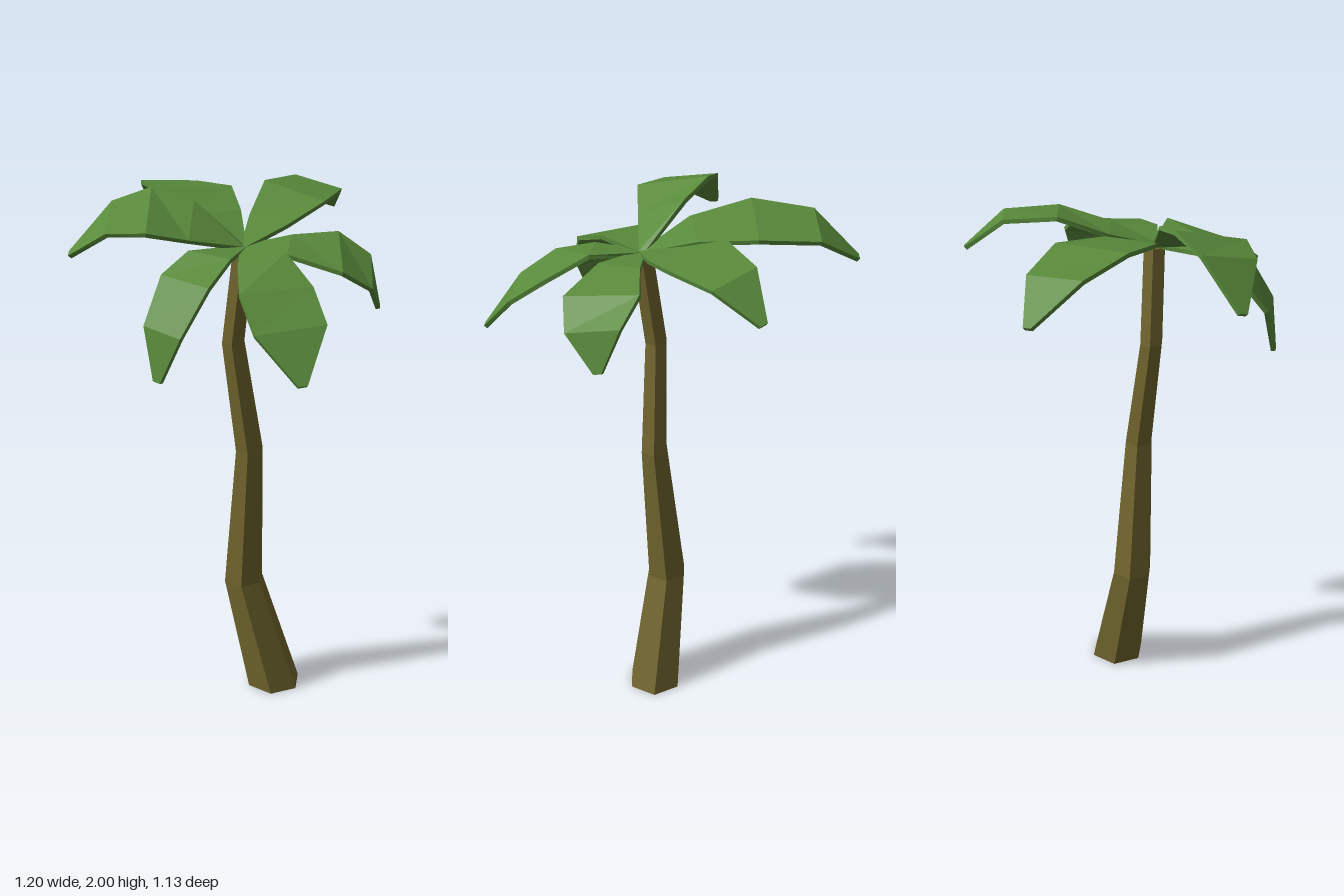
import * as THREE from 'three';

const bark = new THREE.MeshStandardMaterial({ color: 0x74682f, flatShading: true });
const green = new THREE.MeshStandardMaterial({ color: 0x598a3b, flatShading: true });
const V = (p) => new THREE.Vector3(...p);
const HUB = V([0.1, 1.82, 0.115]);

// Crooked six-sided trunk: a cylinder whose rings are moved and scaled
function makeTrunk() {
  const rings = [ // x, y, z, radius
    [0.145, 0, -0.027, 0.106],
    [0.048, 0.46, 0.043, 0.078],
    [0.088, 1.02, 0.062, 0.054],
    [0.05, 1.45, 0.11, 0.044],
    [0.1, 1.81, 0.113, 0.042],
  ];
  const geo = new THREE.CylinderGeometry(1, 1, 4, 6, 4, false, Math.PI / 2);
  const pos = geo.attributes.position;
  for (let i = 0; i < pos.count; i++) {
    const [x, y, z, r] = rings[Math.round(pos.getY(i) + 2)];
    pos.setXYZ(i, x + pos.getX(i) * r, y, z + pos.getZ(i) * r);
  }
  geo.computeVertexNormals();
  const mesh = new THREE.Mesh(geo, bark);
  mesh.name = 'trunk';
  return mesh;
}

// Thin leaf slab: left and right edge points (seen looking outward) and a tip
function makeLeaf(name, left, right, tip) {
  const L = left.map(V), R = right.map(V), T = V(tip);
  const end = L.length - 1;
  const tipSide = R[end].clone().sub(L[end]).setLength(0.016);
  const out = T.clone().sub(HUB).setY(0).normalize();
  const hubSide = new THREE.Vector3(-out.z, 0, out.x).multiplyScalar(0.012);
  L.unshift(HUB.clone().sub(hubSide));
  R.unshift(HUB.clone().add(hubSide));
  L.push(T.clone().sub(tipSide));
  R.push(T.clone().add(tipSide));

  // Underside, offset against the local normal
  const n = L.length, lowL = [], lowR = [];
  for (let i = 0; i < n; i++) {
    const a = Math.max(i - 1, 0), b = Math.min(i + 1, n - 1);
    const along = L[b].clone().add(R[b]).sub(L[a]).sub(R[a]);
    const down = R[i].clone().sub(L[i]).cross(along).setLength(-0.016);
    lowL.push(L[i].clone().add(down));
    lowR.push(R[i].clone().add(down));
  }

  const points = [];
  const quad = (a, b, c, d) => points.push(a, b, c, a, c, d);
  for (let i = 0; i < n - 1; i++) {
    const j = i + 1;
    quad(L[i], R[i], R[j], L[j]);
    quad(lowR[i], lowL[i], lowL[j], lowR[j]);
    quad(R[i], lowR[i], lowR[j], R[j]);
    quad(lowL[i], L[i], L[j], lowL[j]);
  }
  quad(L[n - 1], R[n - 1], lowR[n - 1], lowL[n - 1]);
  quad(R[0], L[0], lowL[0], lowR[0]);

  const geo = new THREE.BufferGeometry().setFromPoints(points);
  geo.computeVertexNormals();
  const mesh = new THREE.Mesh(geo, green);
  mesh.name = name;
  return mesh;
}

export function createModel() {
  const palm = new THREE.Group();
  palm.name = 'palmTree';
  const crown = new THREE.Group();
  crown.name = 'crown';
  crown.add(
    makeLeaf('backLeaf',
      [[0.01, 1.88, -0.04], [-0.05, 1.96, -0.215], [-0.05, 1.94, -0.41]],
      [[0.17, 1.87, -0.05], [0.195, 1.915, -0.245], [0.14, 1.91, -0.44]],
      [0.015, 1.81, -0.565]),
    makeLeaf('backLeftLeaf',
      [[0.195, 1.84, -0.045], [0.285, 1.83, -0.205], [0.39, 1.75, -0.26]],
      [[0.28, 1.82, 0.105], [0.46, 1.77, 0.025], [0.513, 1.69, -0.085]],
      [0.46, 1.58, -0.22]),
    makeLeaf('frontLeftLeaf',
      [[0.3, 1.84, 0.14], [0.45, 1.76, 0.19], [0.56, 1.67, 0.265]],
      [[0.2, 1.81, 0.285], [0.3, 1.76, 0.405], [0.415, 1.66, 0.475]],
      [0.585, 1.51, 0.437]),
    makeLeaf('frontLeaf',
      [[0.175, 1.83, 0.29], [0.195, 1.77, 0.44], [0.155, 1.61, 0.545]],
      [[0.0, 1.83, 0.3], [-0.025, 1.77, 0.42], [-0.012, 1.62, 0.535]],
      [0.065, 1.44, 0.565]),
    makeLeaf('frontRightLeaf',
      [[0.01, 1.87, 0.31], [-0.065, 1.915, 0.45], [-0.205, 1.9, 0.495]],
      [[-0.09, 1.96, 0.15], [-0.23, 2.0, 0.215], [-0.33, 1.955, 0.315]],
      [-0.408, 1.785, 0.465]),
    makeLeaf('backRightLeaf',
      [[-0.11, 1.9, 0.14], [-0.325, 1.95, 0.07], [-0.51, 1.92, -0.06]],
      [[-0.035, 1.89, -0.05], [-0.19, 1.92, -0.2], [-0.41, 1.89, -0.265]],
      [-0.595, 1.78, -0.235]));
  palm.add(makeTrunk(), crown);
  return palm;
}
